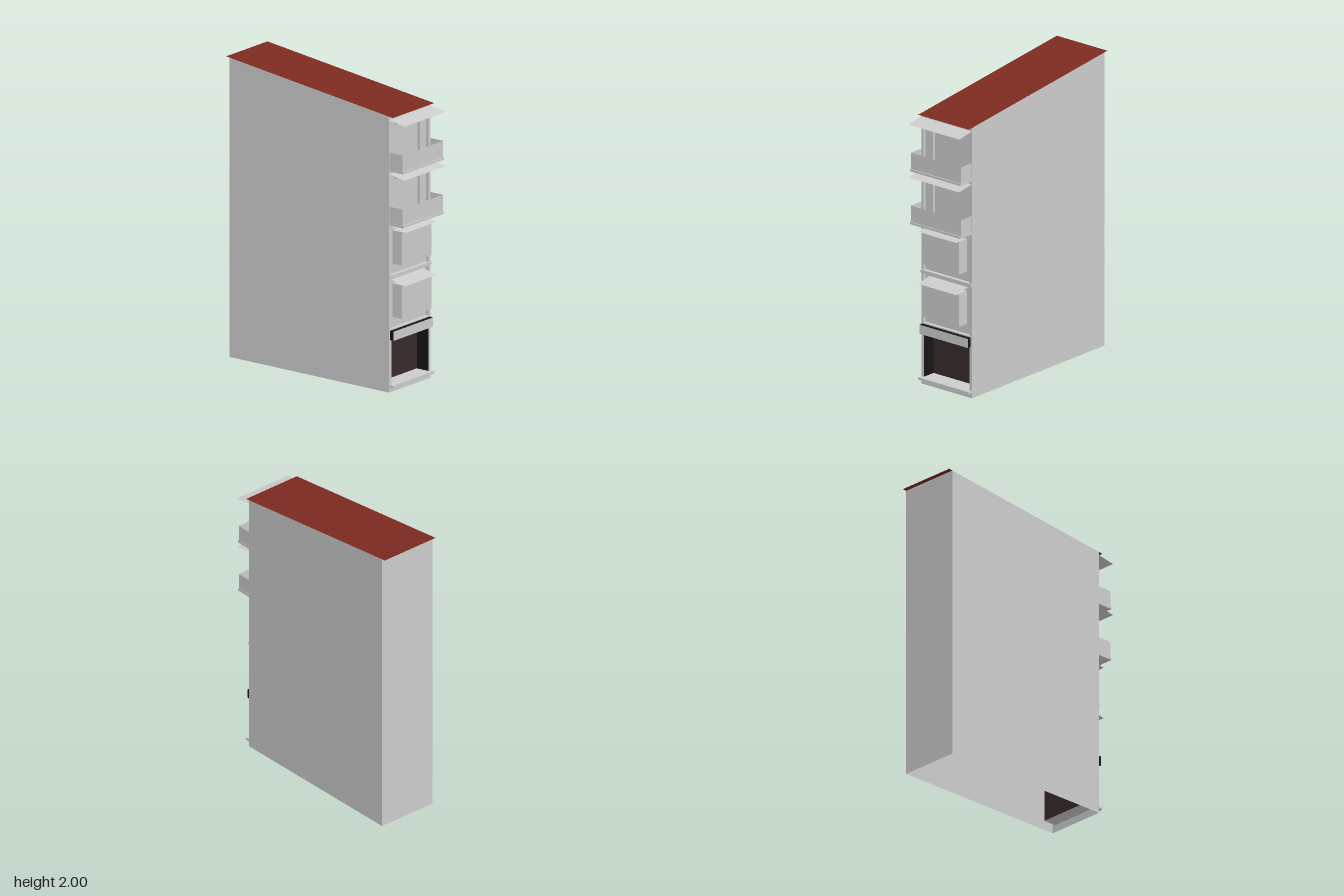
import * as THREE from 'three';

const grey = new THREE.MeshStandardMaterial({ color: 0xcccccc, side: THREE.DoubleSide });
const red = new THREE.MeshStandardMaterial({ color: 0x7d2a20, side: THREE.DoubleSide });
const dark = new THREE.MeshStandardMaterial({ color: 0x352b29, side: THREE.DoubleSide });
const black = new THREE.MeshStandardMaterial({ color: 0x161414, side: THREE.DoubleSide });

const W = 0.214, FRONT = 0.6, BACK = -0.699;
const roofY = (z) => 1.837 + (0.63 - z) * 0.12;

export function createModel() {
  const model = new THREE.Group();

  function add(name, geometry, material, parent = model) {
    const mesh = new THREE.Mesh(geometry, material);
    mesh.name = name;
    parent.add(mesh);
    return mesh;
  }

  // Flat sheet through four corners, counter-clockwise from its front
  function quad(name, corners, material = grey, parent = model) {
    const g = new THREE.BufferGeometry();
    g.setAttribute('position', new THREE.Float32BufferAttribute(corners.flat(), 3));
    g.setAttribute('uv', new THREE.Float32BufferAttribute([0, 0, 1, 0, 1, 1, 0, 1], 2));
    g.setIndex([0, 1, 2, 0, 2, 3]);
    g.computeVertexNormals();
    return add(name, g, material, parent);
  }

  // Box given by half width and its y and z ranges
  function block(name, hw, y0, y1, z0, z1, material = grey, parent = model) {
    const g = new THREE.BoxGeometry(hw * 2, y1 - y0, z1 - z0);
    g.translate(0, (y0 + y1) / 2, (z0 + z1) / 2);
    return add(name, g, material, parent);
  }

  // Sheet spanning the width, sloping from (y0, z0) out to (y1, z1)
  const slope = (name, hw, y0, z0, y1, z1, material = grey, parent = model) =>
    quad(name, [[-hw, y1, z1], [hw, y1, z1], [hw, y0, z0], [-hw, y0, z0]], material, parent);

  // Upright wall facing +z with rectangular openings [halfWidth, y0, y1]
  function wall(name, [hw, y0, y1], z, openings, material = grey, parent = model) {
    const rect = (P, h, a, b) => {
      const p = new P();
      p.moveTo(-h, a).lineTo(h, a).lineTo(h, b).lineTo(-h, b).closePath();
      return p;
    };
    const shape = rect(THREE.Shape, hw, y0, y1);
    openings.forEach((o) => shape.holes.push(rect(THREE.Path, ...o)));
    return add(name, new THREE.ShapeGeometry(shape).translate(0, 0, z), material, parent);
  }

  // Four inner faces of a recess
  function reveal(name, [hw, y0, y1], z0, z1, material = grey, parent = model, sill = material) {
    quad(name + 'Left', [[hw, y0, z1], [hw, y1, z1], [hw, y1, z0], [hw, y0, z0]], material, parent);
    quad(name + 'Right', [[-hw, y0, z0], [-hw, y1, z0], [-hw, y1, z1], [-hw, y0, z1]], material, parent);
    slope(name + 'Sill', hw, y0, z0, y0, z1, sill, parent);
    quad(name + 'Head', [[-hw, y1, z0], [hw, y1, z0], [hw, y1, z1], [-hw, y1, z1]], material, parent);
  }

  // Shell: side walls, back wall and sloping roof, open underneath
  for (const s of [1, -1]) {
    const c = [[s * W, 0, FRONT], [s * W, 0, BACK], [s * W, roofY(BACK), BACK], [s * W, roofY(FRONT), FRONT]];
    quad(s > 0 ? 'leftWall' : 'rightWall', s > 0 ? c : c.reverse());
  }
  quad('backWall', [[W, 0, BACK], [-W, 0, BACK], [-W, roofY(BACK), BACK], [W, roofY(BACK), BACK]]);
  slope('roof', W, roofY(-0.727), -0.727, 1.837, 0.63, red);

  // Front wall with an opening for the shop and for each storey
  const shop = [0.192, 0.05, 0.342];
  const lowerBays = [[0.194, 0.42, 0.757], [0.194, 0.778, 1.11]];
  const upperBays = [[0.194, 1.13, 1.437], [0.194, 1.49, 1.797]];
  wall('frontWall', [W, 0, roofY(FRONT)], FRONT, [shop, ...lowerBays, ...upperBays]);

  // Shop recess, sill and sign board
  const shopZ = 0.505;
  reveal('shopRecess', shop, shopZ, FRONT, black, model, grey);
  wall('shopBack', shop, shopZ, [], dark);
  block('shopStep', 0.213, 0.034, 0.05, FRONT, 0.632);
  block('signBoard', 0.204, 0.348, 0.41, FRONT, 0.627, black);
  wall('signFace', [0.204, 0.348, 0.41], 0.629, []);
  block('signLedge', 0.213, 0.412, 0.42, FRONT, 0.604);
  block('storeyLedge', 0.213, 0.757, 0.778, FRONT, 0.608);

  // Lower storeys: box windows under small canopies
  const bayZ = 0.58;
  [0.487, 0.842].forEach((y, i) => {
    const storey = new THREE.Group();
    storey.name = 'boxWindowStorey' + (i + 1);
    model.add(storey);
    reveal('bayReveal', lowerBays[i], bayZ, FRONT, grey, storey);
    wall('bayWall', lowerBays[i], bayZ, [], grey, storey);
    block('boxWindow', 0.153, y, y + 0.224, bayZ, 0.656, grey, storey);
    slope('windowCanopy', 0.163, y + 0.252, bayZ, y + 0.227, 0.69, grey, storey);
  });

  // Upper storeys: recessed doors, balconies and wide awnings
  [1.115, 1.475].forEach((y, i) => {
    const storey = new THREE.Group();
    storey.name = 'balconyStorey' + (i + 1);
    model.add(storey);
    const door = [0.131, y + 0.016, y + 0.292];
    reveal('bayReveal', upperBays[i], bayZ, FRONT, grey, storey);
    wall('bayWall', upperBays[i], bayZ, [door], grey, storey);
    reveal('doorReveal', door, 0.56, bayZ, grey, storey);
    wall('door', door, 0.56, [], grey, storey);
    block('doorLintel', 0.14, y + 0.295, y + 0.308, bayZ, 0.605, grey, storey);

    block('balconyFloor', 0.213, y, y + 0.015, FRONT, 0.712, grey, storey);
    wall('balconyFront', [0.211, y + 0.015, y + 0.125], 0.705, [], grey, storey);
    for (const s of [1, -1]) {
      const x = s * 0.211;
      const c = [[x, y + 0.015, 0.705], [x, y + 0.015, FRONT], [x, y + 0.125, FRONT], [x, y + 0.125, 0.705]];
      quad('balconySide', s > 0 ? c : c.reverse(), grey, storey);
    }
    slope('awning', W, y + 0.343, FRONT, y + 0.321, 0.725, grey, storey);
  });

  return model;
}
